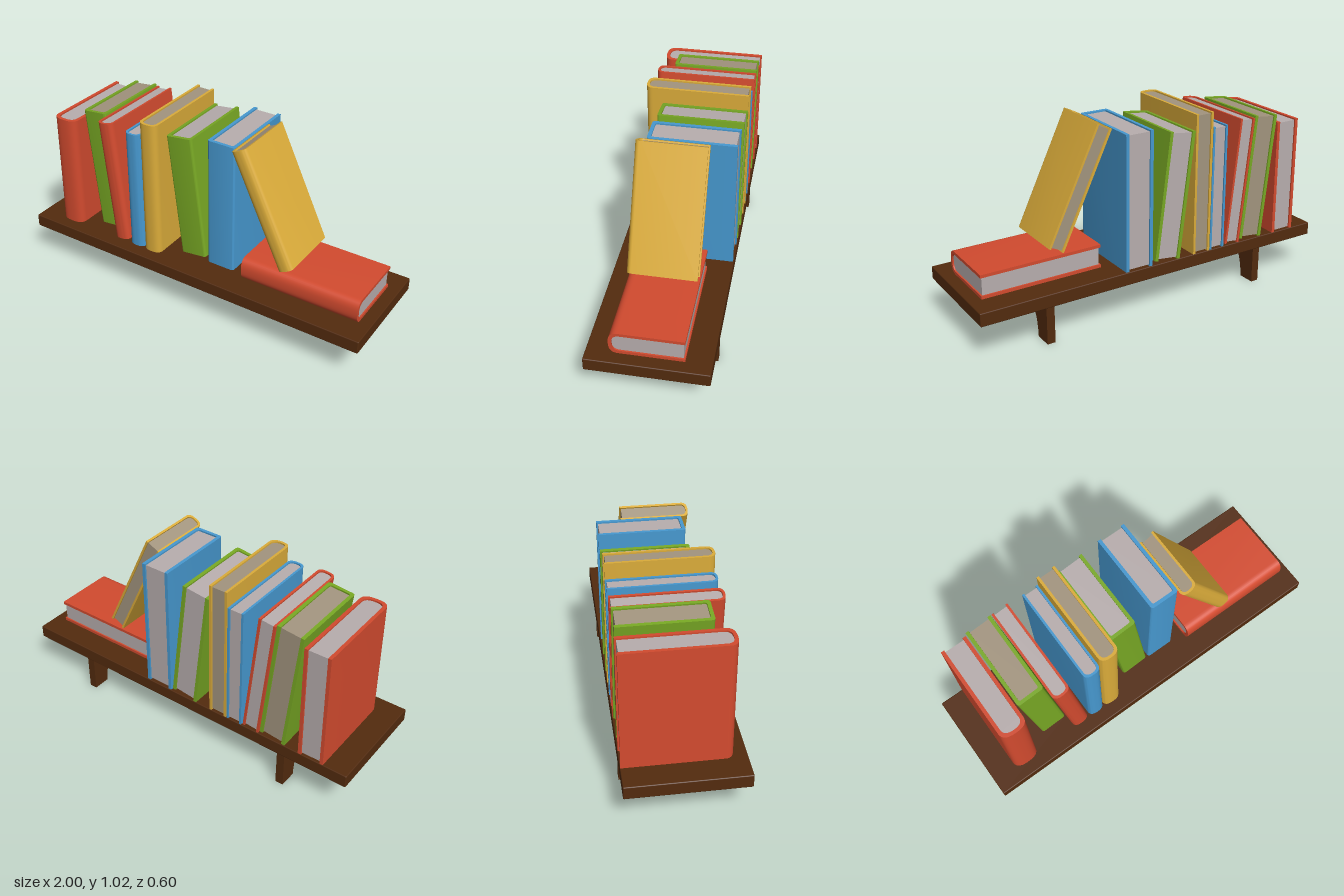
import * as THREE from 'three';
import { toCreasedNormals } from 'three/addons/utils/BufferGeometryUtils.js';
import { RoundedBoxGeometry } from 'three/addons/geometries/RoundedBoxGeometry.js';

const mat = (name, color) => {
  const m = new THREE.MeshStandardMaterial({ color });
  m.name = name;
  return m;
};

function mesh(name, geometry, material) {
  const m = new THREE.Mesh(geometry, material);
  m.name = name;
  return m;
}

// Extrude a plan outline (x, -z) upwards along y
function extrudeUp(shape, height) {
  const g = new THREE.ExtrudeGeometry(shape, { depth: height, bevelEnabled: false, curveSegments: 8 });
  g.rotateX(-Math.PI / 2);
  return toCreasedNormals(g, 0.6);
}

// Outline of a spine end, walked from the left side to the right side
function spinePoints(x0, x1, depth, rx, rz) {
  const p = new THREE.Path();
  p.moveTo(x0, -(depth - rz));
  p.quadraticCurveTo(x0, -depth, x0 + rx, -depth);
  p.lineTo(x1 - rx, -depth);
  p.quadraticCurveTo(x1, -depth, x1, -(depth - rz));
  return p.getPoints(8);
}

// Book with its lower left back corner at the origin, spine towards +z
function makeBook({ name, w, h, d, round, cover, pages }) {
  const book = new THREE.Group();
  book.name = name;
  const t = Math.min(0.018, w * 0.13);
  const rx = round ? w * 0.46 : 0.016;
  const rz = round ? Math.min(0.045, w * 0.36) : 0.016;
  const outer = spinePoints(0, w, d, rx, rz);
  const inner = spinePoints(t, w - t, d - t, round ? (w - 2 * t) * 0.46 : 0.01, rz * 0.85);

  // U-shaped cover: outside of the spine, then back along the inside
  const coverShape = new THREE.Shape([
    new THREE.Vector2(0, 0), ...outer, new THREE.Vector2(w, 0),
    new THREE.Vector2(w - t, 0), ...[...inner].reverse(), new THREE.Vector2(t, 0),
  ]);
  book.add(mesh('cover', extrudeUp(coverShape, h), cover));

  // Page block, set in a little at top, bottom and back
  const inset = 0.008;
  const pageShape = new THREE.Shape([
    new THREE.Vector2(t, -inset), ...inner, new THREE.Vector2(w - t, -inset),
  ]);
  const block = mesh('pages', extrudeUp(pageShape, h - 2 * inset), pages);
  block.position.y = inset;
  book.add(block);
  return book;
}

export function createModel() {
  const root = new THREE.Group();
  root.name = 'bookshelf';
  const wood = mat('dark wood', 0x532b0e);
  const red = mat('red cover', 0xd34b2f);
  const green = mat('green cover', 0x78a824);
  const blue = mat('blue cover', 0x4799d0);
  const gold = mat('gold cover', 0xdbac3a);
  const white = mat('white pages', 0xb8aeae);
  const tan = mat('tan pages', 0xa3957f);

  // Shelf board
  const board = mesh('shelfBoard', new RoundedBoxGeometry(2, 0.07, 0.6, 2, 0.005), wood);
  board.position.y = 0.235;
  root.add(board);

  // Curved brackets under the board, outline in (-z, y)
  const side = new THREE.Shape();
  side.moveTo(0.29, 0);
  side.lineTo(0.29, 0.202);
  side.lineTo(0.08, 0.202);
  side.quadraticCurveTo(0.19, 0.165, 0.195, 0);
  const bracketGeo = new THREE.ExtrudeGeometry(side, { depth: 0.043, bevelEnabled: false, curveSegments: 12 });
  bracketGeo.rotateY(Math.PI / 2);
  const bracket = toCreasedNormals(bracketGeo, 0.6);
  for (const [name, x] of [['rightBracket', -0.652], ['leftBracket', 0.615]]) {
    const b = mesh(name, bracket, wood);
    b.position.x = x;
    root.add(b);
  }

  // Books from the model's right to left: x, y, z of the corner, then size and lean
  const Y = 0.27;
  const books = [
    { name: 'redBookThick', at: [-0.87, Y, -0.298], w: 0.14, h: 0.63, d: 0.534, lean: -0.008, round: true, cover: red, pages: white },
    { name: 'greenBookLeaning', at: [-0.65, Y, -0.295], w: 0.145, h: 0.675, d: 0.447, lean: 0.105, round: false, cover: green, pages: tan },
    { name: 'redBookLeaning', at: [-0.498, Y, -0.298], w: 0.093, h: 0.68, d: 0.53, lean: 0.107, round: true, cover: red, pages: white },
    { name: 'blueBookThin', at: [-0.395, Y, -0.298], w: 0.09, h: 0.67, d: 0.53, lean: 0, round: true, cover: blue, pages: white },
    { name: 'goldBookTall', at: [-0.302, Y, -0.298], w: 0.104, h: 0.752, d: 0.532, lean: 0, round: true, cover: gold, pages: tan },
    { name: 'greenBookMiddle', at: [-0.112, Y, -0.298], w: 0.152, h: 0.675, d: 0.443, lean: 0.122, round: false, cover: green, pages: white },
    { name: 'blueBookThick', at: [0.053, Y, -0.295], w: 0.157, h: 0.717, d: 0.44, lean: 0, round: false, cover: blue, pages: white },
    { name: 'goldBookLeaning', at: [0.49, 0.398, -0.167], w: 0.089, h: 0.65, d: 0.353, lean: 0.446, round: true, cover: gold, pages: tan },
    { name: 'redBookLying', at: [0.285, 0.396, -0.172], w: 0.126, h: 0.65, d: 0.362, lean: -Math.PI / 2, round: true, cover: red, pages: white },
  ];
  for (const spec of books) {
    const book = makeBook(spec);
    book.position.set(...spec.at);
    book.rotation.z = spec.lean;
    root.add(book);
  }
  return root;
}
